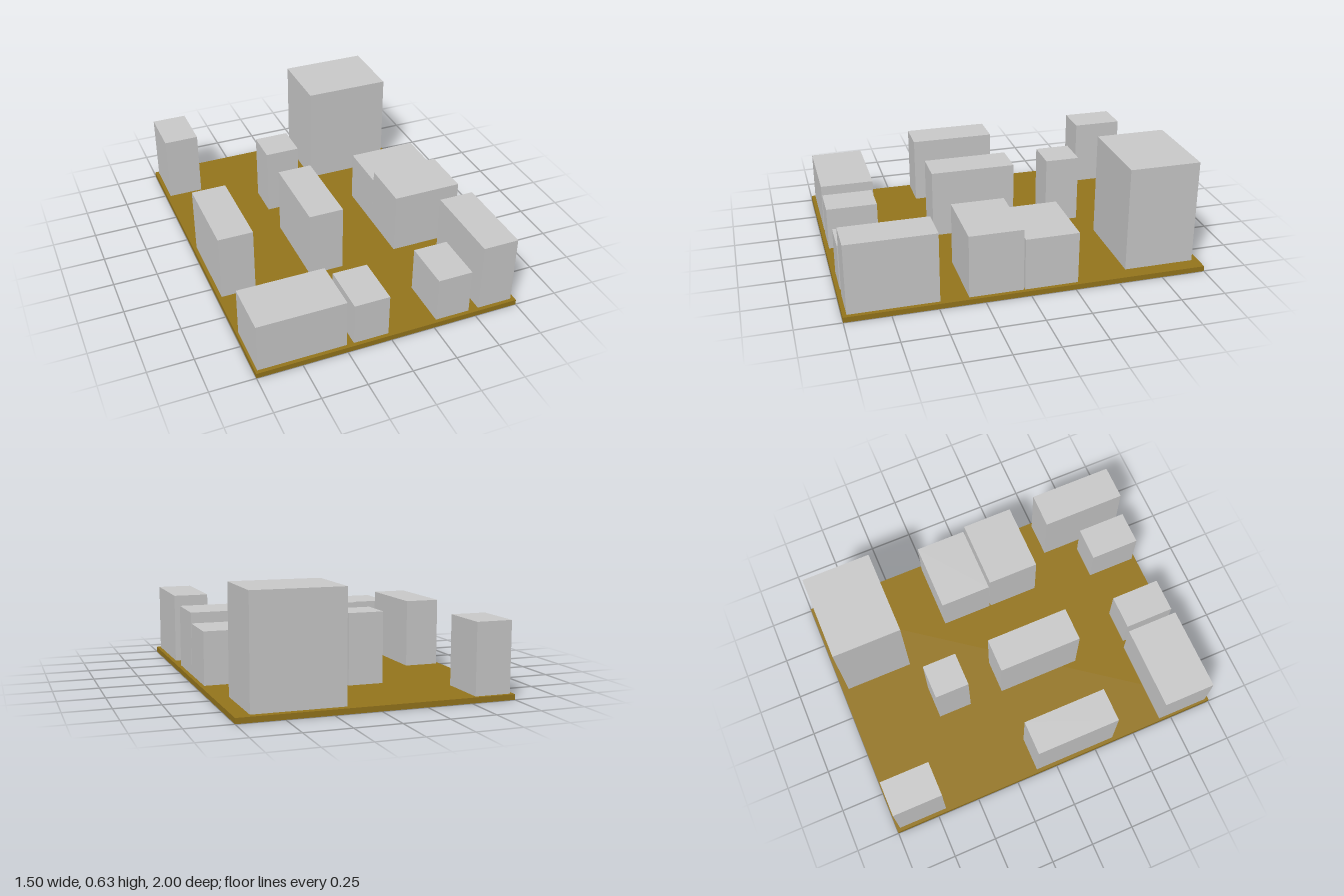
import * as THREE from 'three';

const BASE_TOP = 0.03;

// Each block: name, x from/to, z from/to, height of its top
const BLOCKS = [
  ['backRightBlock', -0.73, -0.53, -0.98, -0.695, 0.418],
  ['tallBackBlock', 0.17, 0.667, -0.962, -0.565, 0.626],
  ['innerBackBlock', -0.208, -0.01, -0.52, -0.322, 0.425],
  ['middleRightBlock', -0.73, -0.533, -0.12, 0.367, 0.416],
  ['innerMiddleBlock', -0.208, -0.01, -0.12, 0.367, 0.425],
  ['lowLeftBlock', 0.33, 0.727, -0.268, 0.029, 0.327],
  ['highLeftBlock', 0.33, 0.727, 0.037, 0.335, 0.387],
  ['frontRightBlock', -0.737, -0.248, 0.675, 0.978, 0.313],
  ['innerFrontBlock', -0.208, -0.01, 0.69, 0.978, 0.276],
  ['smallFrontBlock', 0.27, 0.467, 0.69, 0.978, 0.292],
  ['frontLeftBlock', 0.525, 0.727, 0.49, 0.978, 0.428],
];

function box(name, x0, x1, y0, y1, z0, z1, material) {
  const mesh = new THREE.Mesh(new THREE.BoxGeometry(x1 - x0, y1 - y0, z1 - z0), material);
  mesh.position.set((x0 + x1) / 2, (y0 + y1) / 2, (z0 + z1) / 2);
  mesh.name = name;
  return mesh;
}

export function createModel() {
  const model = new THREE.Group();
  model.name = 'cityBlock';
  const ground = new THREE.MeshStandardMaterial({ color: 0x96761c });
  const grey = new THREE.MeshStandardMaterial({ color: 0xcccccc });

  // Ground slab
  model.add(box('groundSlab', -0.75, 0.75, 0, BASE_TOP, -1, 1, ground));

  // Buildings standing on the slab
  const buildings = new THREE.Group();
  buildings.name = 'buildings';
  for (const [name, x0, x1, z0, z1, top] of BLOCKS) {
    buildings.add(box(name, x0, x1, BASE_TOP, top, z0, z1, grey));
  }
  model.add(buildings);
  return model;
}
